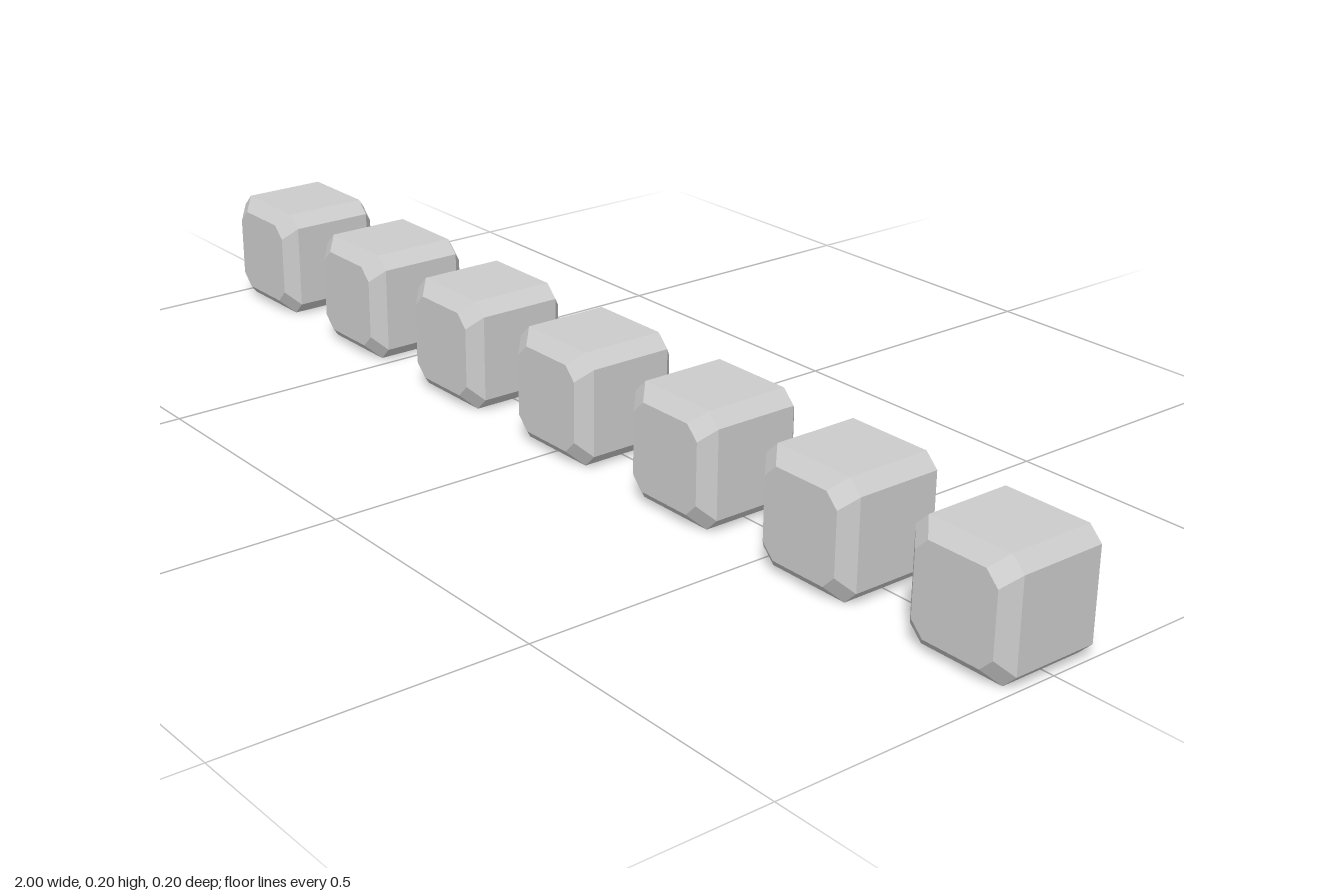
import * as THREE from 'three';
import { ConvexGeometry } from 'three/addons/geometries/ConvexGeometry.js';

const COUNT = 7;
const HALF = 0.0977;  // half size of one cube
const BEVEL = 0.0227; // width of the chamfers
const PITCH = (2 - 2 * HALF) / (COUNT - 1);

// Corners of a square with cut corners, at depth z
function octagon(half, z) {
  const cut = half - BEVEL;
  const points = [];
  for (const sx of [-1, 1]) {
    for (const sy of [-1, 1]) {
      points.push(new THREE.Vector3(sx * half, sy * cut, z));
      points.push(new THREE.Vector3(sx * cut, sy * half, z));
    }
  }
  return points;
}

export function createModel() {
  const group = new THREE.Group();
  group.name = 'cubeRow';
  const material = new THREE.MeshStandardMaterial({ color: 0xcccccc, flatShading: true });

  // Chamfered cube: full octagons along the body, smaller ones on the front and back faces
  const inner = HALF - BEVEL;
  const geometry = new ConvexGeometry([
    ...octagon(inner, -HALF),
    ...octagon(HALF, -inner),
    ...octagon(HALF, inner),
    ...octagon(inner, HALF),
  ]);

  // Evenly spaced row
  for (let i = 0; i < COUNT; i++) {
    const cube = new THREE.Mesh(geometry, material);
    cube.name = `chamferedCube${i + 1}`;
    cube.position.set((i - (COUNT - 1) / 2) * PITCH, HALF, 0);
    group.add(cube);
  }
  return group;
}
